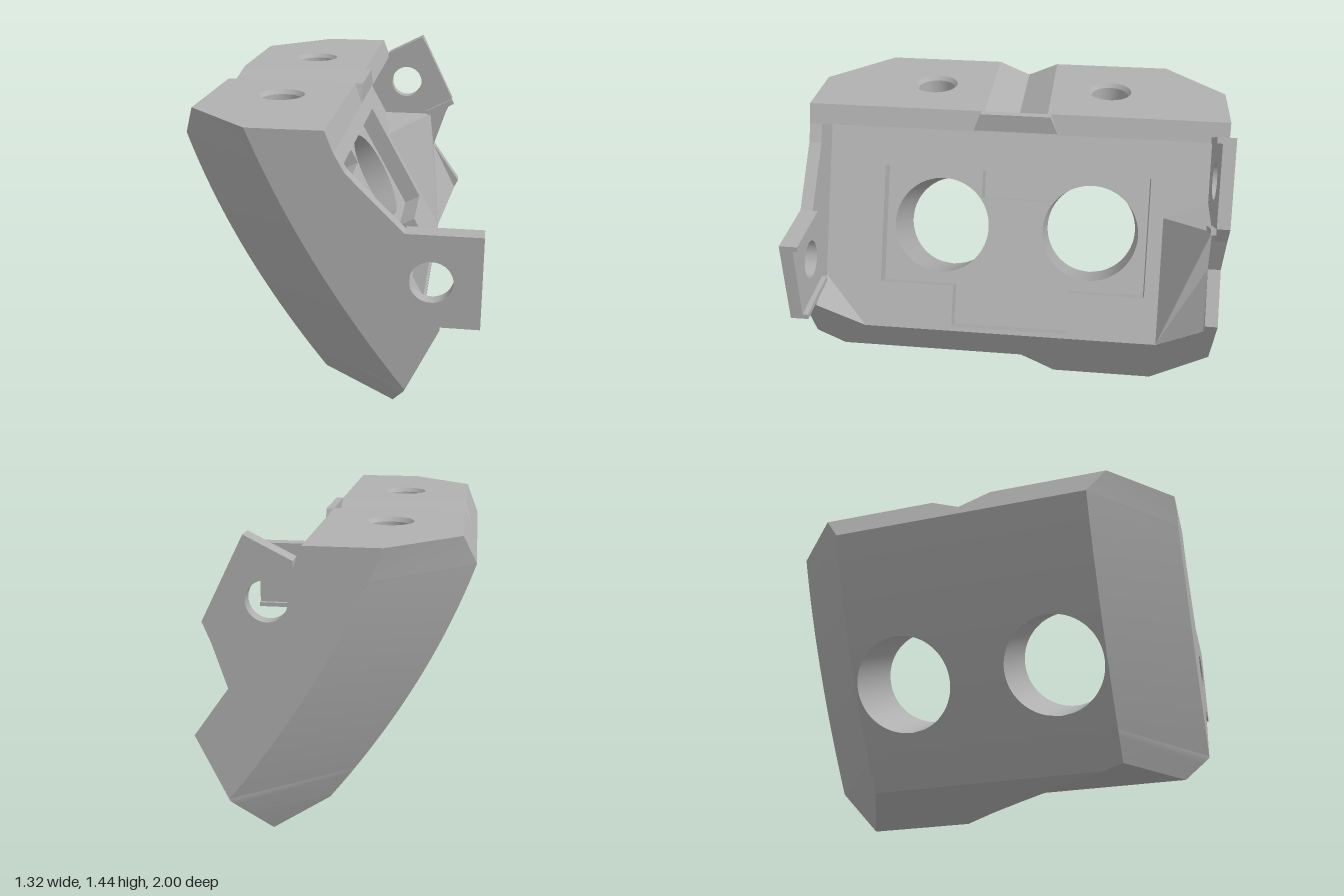
import * as THREE from 'three';

const V = (x, y, z) => new THREE.Vector3(x, y, z);
const lerp = THREE.MathUtils.lerp;

export function createModel() {
  const group = new THREE.Group();
  const grey = new THREE.MeshStandardMaterial({ color: 0xb0b0b0, side: THREE.DoubleSide });
  grey.name = 'plain grey';

  const add = (name, geo) => {
    const m = new THREE.Mesh(geo, grey);
    m.name = name;
    group.add(m);
    return m;
  };
  // flat outline in two coordinates, placed in space by a rule
  const sheet = (name, pts, place, holes = []) => {
    const s = new THREE.Shape(pts.map(([a, b]) => new THREE.Vector2(a, b)));
    for (const h of holes) s.holes.push(new THREE.Path(h.map(([a, b]) => new THREE.Vector2(a, b))));
    const g = new THREE.ShapeGeometry(s);
    const p = g.attributes.position;
    for (let i = 0; i < p.count; i++) p.setXYZ(i, ...place(p.getX(i), p.getY(i)));
    g.computeVertexNormals();
    return add(name, g);
  };
  // skin through rows of points
  const grid = (name, rows) => {
    const n = rows[0].length, index = [];
    for (let i = 0; i < rows.length - 1; i++) for (let j = 0; j < n - 1; j++) {
      const a = i * n + j;
      index.push(a, a + 1, a + n, a + 1, a + n + 1, a + n);
    }
    const g = new THREE.BufferGeometry().setFromPoints(rows.flat());
    g.setIndex(index);
    g.computeVertexNormals();
    return add(name, g);
  };
  // slab lying across z
  const slab = (name, pts, z0, z1, holes = []) => {
    const s = new THREE.Shape(pts.map(([a, b]) => new THREE.Vector2(a, b)));
    for (const [x, y, r] of holes) s.holes.push(new THREE.Path().absarc(x, y, r, 0, Math.PI * 2, true));
    const g = new THREE.ExtrudeGeometry(s, { depth: z1 - z0, bevelEnabled: false, curveSegments: 24 });
    g.translate(0, 0, z0);
    return add(name, g);
  };
  const oval = (cx, cy, rx, ry, n = 48) => Array.from({ length: n }, (_, i) => {
    const a = i / n * Math.PI * 2;
    return [cx + rx * Math.cos(a), cy + ry * Math.sin(a)];
  });
  const range = (a, b, n) => Array.from({ length: n + 1 }, (_, i) => lerp(a, b, i / n));

  // body profile rules, as functions of height
  const xBack = (y) => {
    if (y < 0.125) return 0.22 - 2 * y;
    if (y > 1.265) return -0.66 + 0.06 * (y - 1.265) / 0.135;
    const s = (y - 0.125) / 1.14;
    return -0.03 - 0.63 * s - 0.25 * s * (1 - s);
  };
  const zBack = (y) => y < 0.125 ? 0.73 - 0.8 * y : y > 1.265 ? 0.63 + 0.09 * (y - 1.265) / 0.135 : 0.63;
  const xEnd = (y) => {
    const s = (y - 0.28) / 1.12;
    return 0.35 - 0.65 * s - 0.21 * s * (1 - s);
  };
  const xBottom = (y) => 0.22 + 0.474 * y;
  const zBottom = (y) => Math.min(1, 0.73 + y);
  const N = [0.877, 0.48];
  const xPlane = (y, d) => (d - N[1] * y) / N[0];
  const FRONT = 0.51, FLOOR = 0.417, DEEP = 0.3;

  // big slanted bores
  const R = 0.24, ZC = 0.377, YC = 0.77, XC = xPlane(YC, FLOOR);
  const boreHalf = (y) => {
    const t = (xBack(y) - XC) * N[1] - (y - YC) * N[0];
    return Math.sqrt(Math.max(0, R * R - t * t));
  };

  // curved back skin, in bands around the bores
  const ys = range(0.15, 1.265, 140);
  for (const [a, b] of [[0, 1], [2, 3], [4, 5]]) {
    grid('backSkin', ys.map((y) => {
      const w = boreHalf(y), z = zBack(y);
      const e = [-z, -ZC - w, -ZC + w, ZC - w, ZC + w, z];
      return [V(xBack(y), y, e[a]), V(xBack(y), y, e[b])];
    }));
  }
  for (const side of [-1, 1]) {
    grid('bore', range(0, Math.PI * 2, 64).map((a) => {
      const z = side * ZC + R * Math.cos(a), t = R * Math.sin(a);
      const x = XC - N[1] * t, y = YC + N[0] * t;
      let lo = 0, hi = 1.2;
      for (let i = 0; i < 30; i++) {
        const m = (lo + hi) / 2;
        if (x - m * N[0] > xBack(y - m * N[1])) lo = m; else hi = m;
      }
      return [V(x, y, z), V(x - lo * N[0], y - lo * N[1], z)];
    }));

    // chamfered corners of the back
    const row = (y) => {
      const low = y < 0.28;
      return [V(xBack(y), y, side * zBack(y)), V(low ? xBottom(y) : xEnd(y), y, side * (low ? zBottom(y) : 1))];
    };
    grid('cornerChamfer', range(0.15, 0.28, 6).map(row));
    grid('cornerChamfer', range(0.28, 1.265, 40).map(row));
    grid('cornerChamfer', [1.265, 1.4].map(row));
    if (side < 0) grid('cornerChamfer', [0, 0.06, 0.125, 0.15].map(row));

    // top half with its screw hole
    sheet('topFace', [[0.02, 0.15], [-0.6, 0.15], [-0.6, 0.72], [-0.3, 1], [0.02, 1]],
      (x, z) => [x, 1.4, side * z], [oval(-0.275, 0.435, 0.105, 0.105, 32)]);
    const hole = [[0, 1.15], [0.09, 1.15], [0.09, 1.15], [0.09, 1.38], [0.09, 1.38], [0.105, 1.4]];
    add('screwHole', new THREE.LatheGeometry(hole.map(([x, y]) => new THREE.Vector2(x, y)), 32))
      .position.set(-0.275, 0, side * 0.435);

    // V groove across the top
    grid('topGroove', [[V(-0.6, 1.4, side * 0.15), V(0.02, 1.4, side * 0.15)],
      [V(-0.635, 1.32, 0), V(0.02, 1.32, 0)]]);
  }
  sheet('backBevel', [[-0.72, 1.4], [-0.15, 1.4], [0, 1.32], [0.15, 1.4], [0.72, 1.4], [0.63, 1.265], [-0.63, 1.265]],
    (z, y) => [xBack(y), y, z]);

  // bottom rim and the foot left by the cut-away
  sheet('bottomFace', [[0.88, 0.15], [1, 0.27], [1, 0.57], [0.73, 0.355], [-0.73, 0.355], [-1, 0.57], [-1, 0.27],
    [-0.73, 0], [-0.22, 0], [-0.08, 0.15]], (z, y) => [xBottom(y), y, z]);
  const zCut = (y) => -0.22 + 0.85 * Math.min(1, y / 0.14) ** 1.1;
  const fy = [0, 0.03, 0.06, 0.09, 0.125];
  grid('footUnderside', fy.map((y) => [V(xBack(y), y, -zBack(y)), V(xBack(y), y, zCut(y))]));
  grid('footBack', [0.125, 0.15].map((y) => [V(xBack(y), y, -0.63), V(xBack(y), y, zCut(y))]));
  grid('footCut', [...fy, 0.15].map((y) => [V(xBack(y), y, zCut(y)), V(xBottom(y), y, -0.22 + 0.933 * y)]));
  sheet('cutAwayCeiling', [[xBack(0.15), 0.63], [xBottom(0.15), 0.88], [xBottom(0.15), -0.08]], (x, z) => [x, 0.15, z]);

  // front lip with its centre block and undercut
  grid('frontLip', [[V(0.02, 1.4, 1), V(0.02, 1.4, -1)], [V(0.055, 1.31, 1), V(0.055, 1.31, -1)]]);
  const block = [[-0.165, 1.4], [0.165, 1.4], [0.2, 1.315], [-0.2, 1.315]];
  const blockMesh = add('lipBlock', new THREE.ExtrudeGeometry(
    new THREE.Shape(block.map(([a, b]) => new THREE.Vector2(a, b))), { depth: 0.035, bevelEnabled: false }));
  blockMesh.rotation.y = Math.PI / 2;
  blockMesh.position.x = 0.02;
  grid('lipUndercut', [[V(0.055, 1.31, 0.95), V(0.055, 1.31, -0.95)],
    [V(xPlane(1.255, FRONT), 1.255, 0.95), V(xPlane(1.255, FRONT), 1.255, -0.95)]]);

  // slanted front with a stepped recess and a deeper centre pocket
  const recess = [[0.66, 1.07], [-0.66, 1.07], [-0.66, 0.555], [-0.29, 0.555], [-0.29, 0.375], [0.29, 0.375],
    [0.29, 0.555], [0.66, 0.555]];
  const sink = (pts, d) => pts.map(([z, y]) => [z, y - d * N[1]]);
  const walls = (name, pts, d0, d1) => pts.forEach((p, i) => {
    const q = pts[(i + 1) % pts.length], dy = (d0 - d1) * N[1];
    grid(name, [p, q].map(([z, y]) => [V(xPlane(y, d0), y, z), V(xPlane(y - dy, d1), y - dy, z)]));
  });
  const pocket = [[0.18, 1.02], [-0.18, 1.02], [-0.18, 0.9], [0.18, 0.9]];
  sheet('frontSlope', [[0.94, 1.255], [-0.94, 1.255], [-0.94, 0.355], [0.94, 0.355]].map(([z, y]) => [z, y]),
    (z, y) => [xPlane(y, FRONT), y, z], [recess]);
  walls('recessWall', recess, FRONT, FLOOR);
  sheet('recessFloor', sink(recess, FRONT - FLOOR), (z, y) => [xPlane(y, FLOOR), y, z],
    [...[-ZC, ZC].map((z) => oval(z, YC, R, R * N[0], 64)), pocket]);
  walls('pocketWall', pocket, FLOOR, DEEP);
  sheet('pocketFloor', sink(pocket, FLOOR - DEEP), (z, y) => [xPlane(y, DEEP), y, z]);

  // inner corner fillets against the end walls
  const fan = (name, p) => {
    for (let i = 1; i < p.length - 1; i++) grid(name, [[p[0], p[i]], [p[0], p[i + 1]]]);
  };
  const foot = (s) => [V(0.388, 0.355, s * 0.73), V(0.469, 0.525, s * 0.94)];
  fan('cornerFillet', [...foot(1), V(xPlane(0.57, FRONT), 0.57, 0.94)]);
  const a2 = V(xPlane(0.905, FRONT), 0.905, -0.73), b3 = V(0.31, 0.98, -0.94);
  fan('cornerFillet', [...foot(-1), V(0.335, 0.79, -0.94), b3, a2]);
  fan('cornerFilletTop', [a2, b3, V(xPlane(0.98, FRONT), 0.98, -0.94)]);

  // end walls with their drilled tabs
  const curve = range(1.4, 0.28, 24).map((y) => [xEnd(y), y]);
  slab('frontEndWall', [...curve, [0.49, 0.57], [0.49, 0.585], [0.655, 0.585], [0.655, 0.99], [0.34, 0.99],
    [0.1, 1.23], [0.055, 1.31], [0.02, 1.4]], 0.94, 1, [[0.45, 0.785, 0.09]]);
  slab('backEndWall', [...curve, [0.49, 0.57], [0.335, 0.79], [0.4, 0.99], [0.435, 1.075], [0.253, 1.438],
    [0.055, 1.338], [0.055, 1.31], [0.02, 1.4]], -1, -0.94, [[0.165, 1.17, 0.087]]);

  // raised lips on the tabs
  for (const y of [0.585, 0.965]) {
    slab('frontTabLip', [[0.34, y], [0.655, y], [0.655, y + 0.025], [0.34, y + 0.025]], 0.915, 0.94);
  }
  for (const [x0, y0, x1, y1] of [[0.055, 1.338, 0.253, 1.438], [0.285, 1.0, 0.435, 1.075]]) {
    slab('backTabLip', [[x0, y0], [x1, y1], [x1 + 0.013, y1 - 0.025], [x0 + 0.013, y0 - 0.025]], -0.94, -0.915);
  }
  return group;
}
